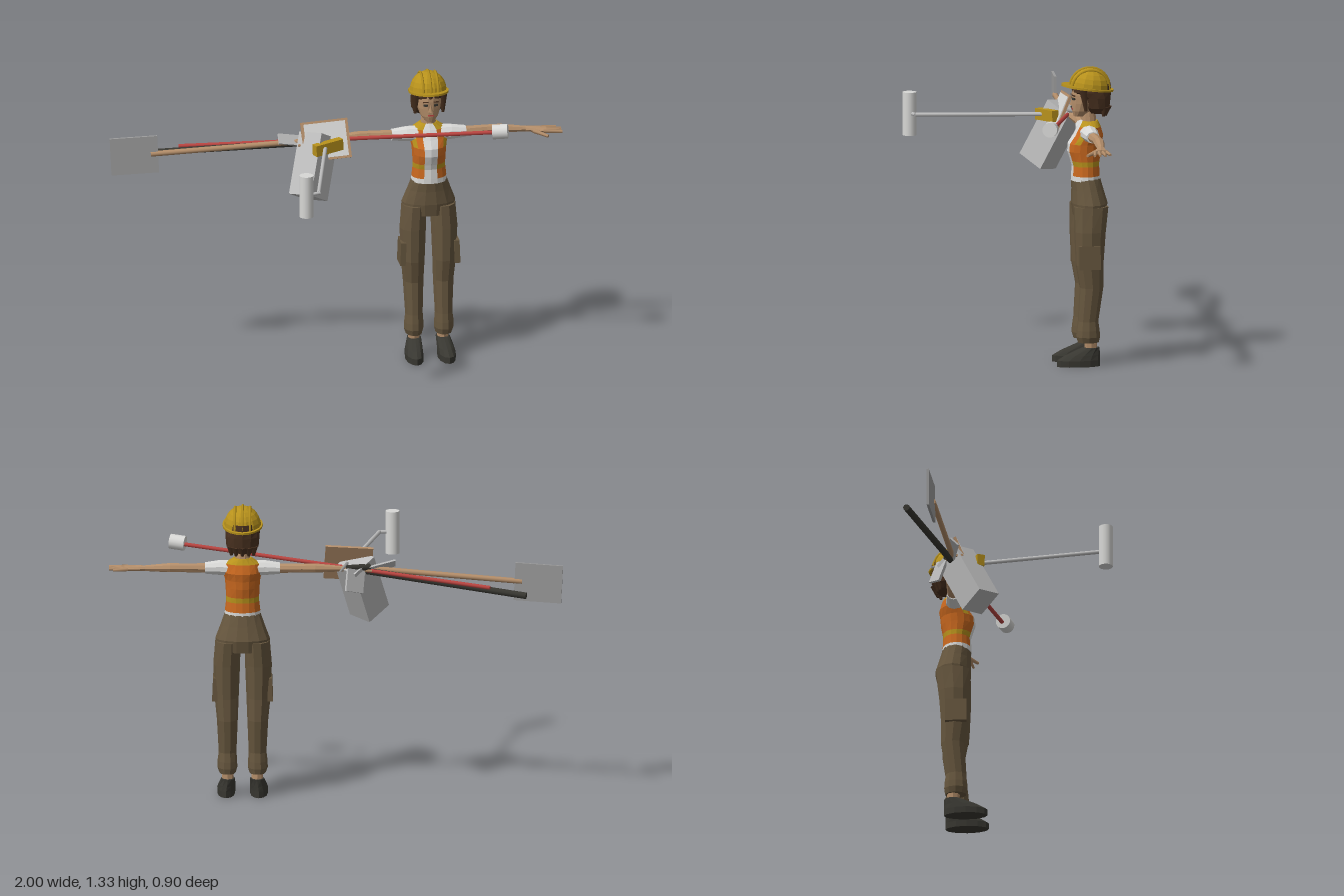
import * as THREE from 'three';

const mat = (name, color) => {
  const m = new THREE.MeshStandardMaterial({ color });
  m.name = name;
  return m;
};

export function createModel() {
  const M = {
    yellow: mat('safetyYellow', 0xb8921c), skin: mat('tan', 0xb48e6a), hair: mat('darkBrown', 0x48301f),
    orange: mat('vestOrange', 0xc9681f), white: mat('white', 0xd8d8d6), pants: mat('khakiBrown', 0x66563e),
    black: mat('charcoal', 0x383731), red: mat('red', 0xb84440), grey: mat('grey', 0x9c9c9c), silver: mat('silver', 0xbcbcbc),
  };
  const root = new THREE.Group();
  root.name = 'worker';
  const person = new THREE.Group();
  person.name = 'person';
  person.position.set(0.41, 0, -0.27);
  const tools = new THREE.Group();
  tools.name = 'tools';
  root.add(person, tools);

  const add = (parent, name, geo, m, pos = [0, 0, 0], rot = [0, 0, 0]) => {
    const mesh = new THREE.Mesh(geo, m);
    mesh.name = name;
    mesh.position.set(...pos);
    mesh.rotation.set(...rot);
    parent.add(mesh);
    return mesh;
  };
  const box = (parent, name, size, m, pos, rot) => add(parent, name, new THREE.BoxGeometry(...size), m, pos, rot);

  // Faceted closed loft; each ring is [t, centreA, centreB, radiusA, radiusB] along y or x
  const loft = (name, axis, rings, n, colourOf) => {
    const pick = typeof colourOf === 'function' ? colourOf : () => colourOf;
    const point = ([t, a, b, ra, rb], j) => {
      const q = (j / n) * Math.PI * 2, c = Math.cos(q), s = Math.sin(q);
      return axis === 'y' ? [a + ra * c, t, b - rb * s] : [t, a + ra * c, b + rb * s];
    };
    const mid = ([t, a, b]) => (axis === 'y' ? [a, t, b] : [t, a, b]);
    const buckets = new Map();
    const tri = (m, ...pts) => {
      if (!buckets.has(m)) buckets.set(m, []);
      buckets.get(m).push(...pts.flat());
    };
    const last = rings.length - 1;
    for (let j = 0; j < n; j++) {
      for (let i = 0; i < last; i++) {
        const a = point(rings[i], j), b = point(rings[i], j + 1);
        const c = point(rings[i + 1], j + 1), d = point(rings[i + 1], j);
        tri(pick(i, j), a, b, c, a, c, d);
      }
      tri(pick(0, j), mid(rings[0]), point(rings[0], j + 1), point(rings[0], j));
      tri(pick(last - 1, j), mid(rings[last]), point(rings[last], j), point(rings[last], j + 1));
    }
    for (const [m, pts] of buckets) {
      const g = new THREE.BufferGeometry();
      g.setAttribute('position', new THREE.Float32BufferAttribute(pts, 3));
      g.computeVertexNormals();
      add(person, name, g, m);
    }
  };

  // Straight bar between two points
  const rod = (parent, name, a, b, r0, r1, m, n = 10) => {
    const A = new THREE.Vector3(...a), B = new THREE.Vector3(...b);
    const dir = B.clone().sub(A);
    const mesh = add(parent, name, new THREE.CylinderGeometry(r1, r0, dir.length(), n), m);
    mesh.position.copy(A).add(B).multiplyScalar(0.5);
    mesh.quaternion.setFromUnitVectors(new THREE.Vector3(0, 1, 0), dir.normalize());
    return mesh;
  };

  // Torso: vest over a white shirt
  loft('vest', 'y', [
    [0.82, 0, 0.005, 0.08, 0.065], [0.842, 0, 0.005, 0.078, 0.064], [0.885, 0, 0.005, 0.073, 0.061],
    [0.908, 0, 0.007, 0.073, 0.065], [0.95, 0, 0.01, 0.075, 0.076], [0.985, 0, 0.008, 0.078, 0.076],
    [1.02, 0, -0.007, 0.086, 0.067], [1.06, 0, -0.012, 0.078, 0.05], [1.085, 0, -0.014, 0.04, 0.036],
  ], 16, (i, j) => {
    if (i === 0 || j === 11 || j === 12) return M.white;
    if (i === 2 || i === 7) return M.yellow;
    return i > 4 && (j === 9 || j === 14) ? M.yellow : M.orange;
  });

  // Trousers
  loft('hips', 'y', [
    [0.665, 0, -0.01, 0.118, 0.07], [0.72, 0, -0.012, 0.12, 0.08], [0.78, 0, -0.004, 0.097, 0.07],
    [0.83, 0, 0.004, 0.079, 0.064],
  ], 14, M.pants);

  for (const s of [1, -1]) {
    const side = s > 0 ? 'left' : 'right';
    // Leg, pocket, ankle and shoe
    const upright = (rings) => rings.map(([t, x, ...r]) => [t, x * s, ...r]);
    loft(side + 'TrouserLeg', 'y', upright([
      [0.105, 0.066, 0.002, 0.036, 0.047], [0.13, 0.067, 0.003, 0.044, 0.054], [0.16, 0.067, 0.003, 0.043, 0.052],
      [0.2, 0.066, 0.003, 0.039, 0.046], [0.35, 0.067, -0.012, 0.046, 0.053], [0.45, 0.07, -0.003, 0.053, 0.062],
      [0.6, 0.07, -0.005, 0.059, 0.071], [0.71, 0.064, -0.011, 0.056, 0.078],
    ]), 10, M.pants);
    box(person, side + 'CargoPocket', [0.024, 0.105, 0.095], M.pants, [s * 0.12, 0.49, 0.004], [0, 0, s * 0.04]);
    loft(side + 'Ankle', 'y', upright([
      [0.06, 0.064, -0.01, 0.025, 0.027], [0.12, 0.066, -0.008, 0.026, 0.029],
    ]), 8, M.skin);
    loft(side + 'Shoe', 'y', upright([
      [0, 0.072, 0.046, 0.039, 0.096], [0.028, 0.072, 0.046, 0.04, 0.096], [0.05, 0.069, 0.028, 0.037, 0.077],
      [0.082, 0.064, -0.01, 0.031, 0.039],
    ]), 12, M.black);

    // Sleeve, arm and hand
    const along = (rings) => {
      const r = rings.map(([t, ...q]) => [t * s, ...q]);
      return s > 0 ? r : r.reverse();
    };
    loft(side + 'Sleeve', 'x', along([
      [0.05, 1.035, -0.004, 0.036, 0.042], [0.1, 1.036, -0.002, 0.034, 0.037], [0.165, 1.034, -0.004, 0.026, 0.03],
    ]), 10, M.white);
    loft(side + 'Arm', 'x', along([
      [0.15, 1.034, -0.005, 0.022, 0.026], [0.26, 1.036, -0.01, 0.02, 0.021], [0.32, 1.036, -0.008, 0.021, 0.024],
      [0.43, 1.031, 0.001, 0.013, 0.016], [0.46, 1.03, 0.006, 0.013, 0.022], [0.52, 1.029, 0.014, 0.011, 0.032],
    ]), 8, M.skin);
    for (let f = 0; f < 4; f++) {
      rod(person, side + 'Finger', [s * 0.505, 1.029, -0.01 + f * 0.016],
        [s * (f === 0 ? 0.57 : 0.588), 1.026, -0.02 + f * 0.024], 0.009, 0.006, M.skin, 6);
    }
    rod(person, side + 'Thumb', [s * 0.465, 1.026, 0.022], [s * 0.522, 1.016, 0.075], 0.011, 0.007, M.skin, 6);

    // Eye and brow
    box(person, side + 'Eye', [0.018, 0.009, 0.008], M.black, [s * 0.022, 1.185, 0.06], [0, s * 0.3, 0]);
    box(person, side + 'Eyebrow', [0.024, 0.004, 0.008], M.hair, [s * 0.023, 1.2, 0.061], [0, s * 0.3, -s * 0.1]);
  }

  // Neck, head and face
  loft('neck', 'y', [[1.06, 0, -0.012, 0.036, 0.034], [1.14, 0, -0.008, 0.029, 0.03]], 10, M.skin);
  loft('head', 'y', [
    [1.105, 0, 0.035, 0.02, 0.022], [1.13, 0, 0.018, 0.04, 0.046], [1.165, 0, 0.005, 0.053, 0.06],
    [1.2, 0, 0, 0.057, 0.066], [1.25, 0, -0.005, 0.057, 0.066],
  ], 14, M.skin);
  add(person, 'nose', new THREE.ConeGeometry(0.012, 0.036, 4), M.skin, [0, 1.172, 0.064]);
  box(person, 'mouth', [0.026, 0.006, 0.008], M.red, [0, 1.137, 0.06]);

  // Bobbed hair with a fringe
  loft('hair', 'y', [
    [1.12, 0, -0.05, 0.052, 0.04], [1.145, 0, -0.045, 0.071, 0.058], [1.19, 0, -0.038, 0.075, 0.07],
    [1.215, 0, -0.022, 0.075, 0.087], [1.25, 0, -0.02, 0.07, 0.087],
  ], 12, M.hair);
  for (const s of [1, -1]) {
    rod(person, 'hairLock', [s * 0.061, 1.23, 0.025], [s * 0.062, 1.135, 0.012], 0.02, 0.007, M.hair, 5);
  }
  for (let k = 0; k < 5; k++) {
    const q = (k - 2) * 0.5;
    rod(person, 'hairTip', [Math.sin(q) * 0.058, 1.15, -0.048 - Math.cos(q) * 0.044],
      [Math.sin(q) * 0.058, 1.108, -0.048 - Math.cos(q) * 0.036], 0.02, 0.006, M.hair, 5);
  }

  // Hard hat
  const hat = new THREE.Group();
  hat.name = 'hardHat';
  hat.position.set(0, 1.232, -0.004);
  hat.rotation.x = -0.13;
  person.add(hat);
  const dome = new THREE.SphereGeometry(1, 14, 6, 0, Math.PI * 2, 0, Math.PI / 2).toNonIndexed();
  dome.scale(0.082, 0.088, 0.09);
  dome.computeVertexNormals();
  add(hat, 'dome', dome, M.yellow, [0, 0, -0.01]);
  const brim = new THREE.CylinderGeometry(1, 1, 0.009, 20);
  brim.scale(0.089, 1, 0.117);
  add(hat, 'brim', brim, M.yellow);
  for (const x of [-0.033, 0, 0.033]) {
    const r = x ? 0.082 : 0.089;
    add(hat, 'ridge', new THREE.TorusGeometry(r, 0.006, 5, 14, Math.PI), M.yellow, [x, 0, -0.01], [0, Math.PI / 2, 0]);
  }

  // Spade with a flat square blade
  rod(tools, 'spadeHandle', [-0.08, 1.035, -0.255], [-0.82, 0.988, -0.318], 0.012, 0.012, M.skin);
  box(tools, 'spadeBlade', [0.21, 0.17, 0.011], M.grey, [-0.892, 0.983, -0.325], [0, -0.09, 0.05]);

  // Dark staff and long red mallet
  rod(tools, 'darkStaff', [-0.84, 0.952, -0.435], [-0.06, 1.028, -0.25], 0.015, 0.015, M.black);
  rod(tools, 'malletHandle', [-0.68, 0.983, -0.415], [0.68, 1.092, -0.075], 0.009, 0.009, M.red);
  rod(tools, 'malletHead', [0.665, 1.094, -0.074], [0.73, 1.1, -0.058], 0.033, 0.033, M.white, 16);

  // Paint roller
  rod(tools, 'rollerHandle', [-0.06, 1.034, -0.19], [-0.185, 1.026, 0.4], 0.009, 0.009, M.silver);
  rod(tools, 'rollerElbow', [-0.18, 1.026, 0.4], [-0.243, 1.023, 0.415], 0.008, 0.008, M.silver);
  rod(tools, 'rollerHead', [-0.243, 0.926, 0.418], [-0.243, 1.118, 0.418], 0.031, 0.031, M.white, 16);

  // Clipboard with paper
  const board = box(tools, 'clipboard', [0.21, 0.175, 0.012], M.skin, [-0.055, 1.045, -0.22], [-0.4, 0, 0.06]);
  box(board, 'paper', [0.185, 0.155, 0.004], M.white, [0, 0, 0.0075]);

  // Yellow tape case
  box(tools, 'tapeCase', [0.14, 0.05, 0.034], M.yellow, [-0.055, 1.032, -0.165], [0, 0.42, 0.05]);

  // Hanging toolbox, tilted forward
  const toolbox = box(tools, 'toolbox', [0.13, 0.28, 0.12], M.silver, [-0.115, 0.935, -0.195]);
  toolbox.quaternion.setFromUnitVectors(new THREE.Vector3(0, -1, 0), new THREE.Vector3(-0.23, -0.88, 0.41).normalize())
    .multiply(new THREE.Quaternion().setFromAxisAngle(new THREE.Vector3(0, 1, 0), Math.PI / 4));

  // Small hand tools gathered at the right hand
  box(tools, 'scraperBlade', [0.12, 0.05, 0.008], M.silver, [-0.205, 1.04, -0.26], [-0.8, 0.3, 0]);
  rod(tools, 'scraperGrip', [-0.15, 1.04, -0.275], [-0.05, 1.045, -0.31], 0.016, 0.013, M.black);
  rod(tools, 'chisel', [-0.05, 1.05, -0.25], [-0.02, 1.04, -0.36], 0.008, 0.005, M.grey, 6);
  box(tools, 'trowelBlade', [0.09, 0.1, 0.012], M.silver, [-0.085, 0.99, -0.325], [0.3, 0.6, 0.1]);

  return root;
}
